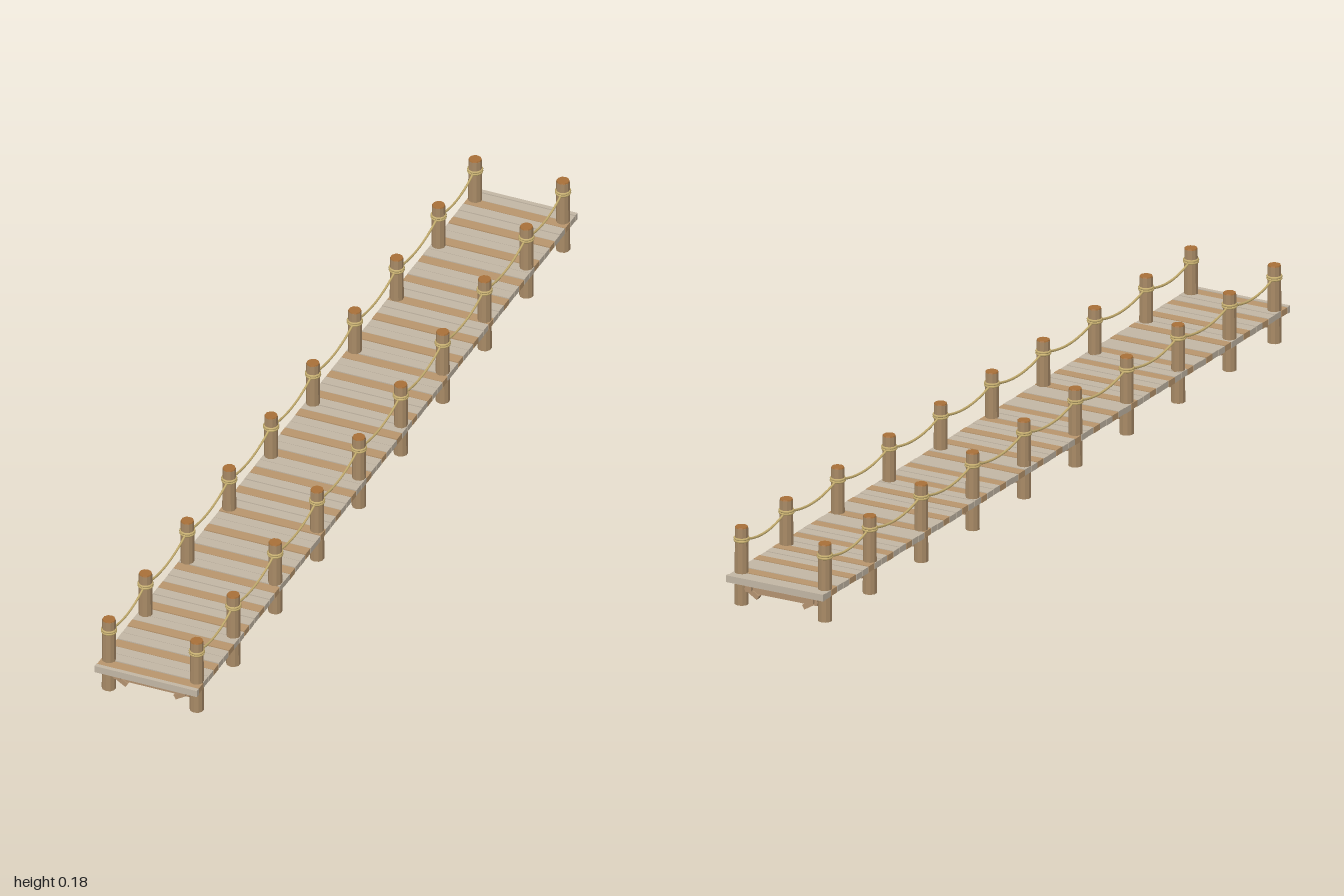
import * as THREE from 'three';

const mat = (name, color, flatShading = false) => {
  const m = new THREE.MeshStandardMaterial({ color, flatShading });
  m.name = name;
  return m;
};

export function createModel() {
  const greyPlank = mat('weatheredPlank', 0xc2b6a4);
  const tanPlank = mat('tanPlank', 0xb8956c);
  const beamWood = mat('beamWood', 0xb39270);
  const postWood = mat('postWood', 0xa88a66, true);
  const endGrain = mat('endGrain', 0xa87038, true);
  const rope = mat('rope', 0xc8b070);

  const model = new THREE.Group();
  model.name = 'boardwalk';
  const add = (name, geometry, material, x = 0, y = 0, z = 0) => {
    const mesh = new THREE.Mesh(geometry, material);
    mesh.name = name;
    mesh.position.set(x, y, z);
    model.add(mesh);
    return mesh;
  };

  // Deck planks, with slight differences in height
  const count = 74, pitch = 1.98 / count;
  const plankGeo = new THREE.BoxGeometry(0.236, 0.014, pitch - 0.002);
  for (let i = 0; i < count; i++) {
    const z = -0.99 + pitch * (i + 0.5);
    const y = 0.0652 + 0.0003 * ((i * 7) % 5 - 2);
    add('plank', plankGeo, i % 3 === 1 ? tanPlank : greyPlank, 0, y, z);
  }

  // Trim boards closing both ends of the deck
  const trimGeo = new THREE.BoxGeometry(0.238, 0.0155, 0.01);
  for (const s of [-1, 1]) add('endBoard', trimGeo, greyPlank, 0, 0.0655, s * 0.995);

  // Posts, cross beams and braces
  const postX = 0.102, ropeY = 0.147;
  const half = [0.11, 0.33, 0.55, 0.77, 0.962];
  const rows = [...half.map(z => -z).reverse(), ...half];
  const postGeo = new THREE.CylinderGeometry(0.0145, 0.0155, 0.173, 10);
  const capGeo = new THREE.CylinderGeometry(0.0135, 0.0145, 0.003, 10);
  const coilGeo = new THREE.TorusGeometry(0.0148, 0.0028, 6, 14).rotateX(Math.PI / 2);
  const beamGeo = new THREE.BoxGeometry(0.176, 0.021, 0.018);
  const braceGeo = new THREE.BoxGeometry(0.036, 0.011, 0.014);
  for (const z of rows) {
    add('crossBeam', beamGeo, beamWood, 0, 0.0425, z);
    for (const s of [-1, 1]) {
      add('post', postGeo, postWood, s * postX, 0.0865, z);
      add('postCap', capGeo, endGrain, s * postX, 0.1742, z);
      for (const dy of [-0.0025, 0.0025]) add('ropeCoil', coilGeo, rope, s * postX, ropeY + dy, z);
      const brace = add('brace', braceGeo, beamWood, s * 0.071, 0.034, z + Math.sign(z) * 0.005);
      brace.rotation.z = s * 0.55;
    }
  }

  // Long stringers under the deck
  const stringerGeo = new THREE.BoxGeometry(0.014, 0.02, 1.96);
  for (const s of [-1, 1]) add('stringer', stringerGeo, beamWood, s * 0.076, 0.0485, 0);

  // Sagging ropes between neighbouring posts
  for (let i = 0; i < rows.length - 1; i++) {
    const a = rows[i], b = rows[i + 1], points = [];
    for (let k = 0; k <= 8; k++) {
      const t = k / 8;
      points.push(new THREE.Vector3(0, ropeY - 0.076 * t * (1 - t), a + (b - a) * t));
    }
    const geo = new THREE.TubeGeometry(new THREE.CatmullRomCurve3(points), 16, 0.0027, 6);
    for (const s of [-1, 1]) add('handRope', geo, rope, s * postX);
  }
  return model;
}
